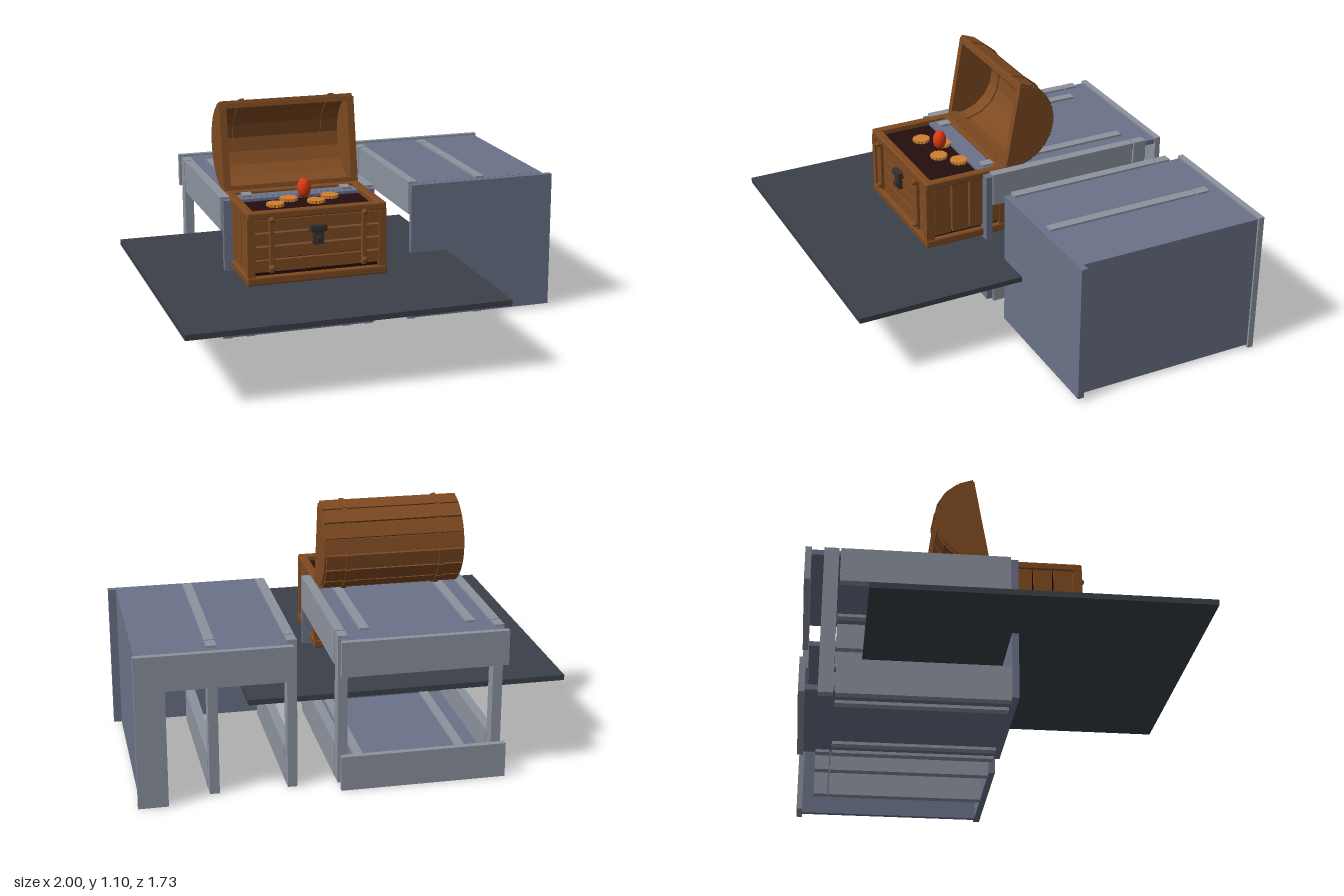
import * as THREE from 'three';
import { RoundedBoxGeometry } from 'three/addons/geometries/RoundedBoxGeometry.js';

const mat = (name, color) => {
  const m = new THREE.MeshStandardMaterial({ color });
  m.name = name;
  return m;
};

export function createModel() {
  const panel = mat('blue grey panel', 0x6b7389);
  const trim = mat('light grey trim', 0x8c939e);
  const slate = mat('dark slate', 0x3b4149);
  const wood = mat('brown wood', 0x7e4a21);
  const lining = mat('dark lining', 0x260d0d);
  const iron = mat('dark iron', 0x35302d);
  const gold = mat('gold', 0xd08030);
  const red = mat('red', 0xdd3812);

  const root = new THREE.Group();
  root.name = 'chestScene';
  const group = (name, parent = root) => {
    const g = new THREE.Group();
    g.name = name;
    parent.add(g);
    return g;
  };
  const add = (parent, name, geo, material, x = 0, y = 0, z = 0) => {
    const m = new THREE.Mesh(geo, material);
    m.name = name;
    m.position.set(x, y, z);
    parent.add(m);
    return m;
  };
  // box given by its limits; r > 0 rounds the edges
  const box = (parent, name, material, x0, x1, y0, y1, z0, z1, r = 0) => {
    const s = [x1 - x0, y1 - y0, z1 - z0];
    const geo = r ? new RoundedBoxGeometry(...s, 2, r) : new THREE.BoxGeometry(...s);
    return add(parent, name, geo, material, (x0 + x1) / 2, (y0 + y1) / 2, (z0 + z1) / 2);
  };

  // floor slab
  box(root, 'floorSlab', slate, -1, 0.455, 0.32, 0.345, -0.595, 0.86);

  // rectangular side frame: rear post with a deep rail at top and bottom
  const frame = (parent, x) => {
    box(parent, 'rearPost', trim, x, x + 0.043, 0.003, 0.688, -0.785, -0.72);
    for (const y of [0.002, 0.53])
      box(parent, 'sideRail', trim, x, x + 0.043, y, y + 0.158, -0.712, 0.033);
  };

  // open stand behind the chest
  const stand = group('openStand');
  box(stand, 'frontPanel', panel, -0.635, 0.09, 0.018, 0.678, 0.036, 0.066);
  for (const y of [0.016, 0.655]) {
    box(stand, 'shelfPanel', panel, -0.632, 0.087, y, y + 0.024, -0.84, 0.036);
    for (const x of [-0.532, -0.058])
      box(stand, 'shelfBatten', trim, x, x + 0.043, y - 0.014, y + 0.034, -0.712, 0.033);
  }
  for (const y of [0.002, 0.53])
    box(stand, 'backRail', trim, -0.642, 0.095, y, y + 0.158, -0.867, -0.84);
  for (const x of [-0.642, 0.052]) frame(stand, x);

  // closed cabinet on the side
  const cabinet = group('cabinet');
  box(cabinet, 'frontPanel', panel, 0.277, 1, 0.018, 0.678, 0.036, 0.066);
  box(cabinet, 'topPanel', panel, 0.312, 0.965, 0.655, 0.679, -0.84, 0.036);
  box(cabinet, 'sidePanel', panel, 0.94, 0.965, 0.016, 0.679, -0.84, 0.036);
  box(cabinet, 'backRail', trim, 0.3, 0.975, 0.53, 0.688, -0.867, -0.84);
  box(cabinet, 'backStile', trim, 0.845, 0.975, 0.003, 0.53, -0.867, -0.84);
  for (const x of [0.273, 0.615]) frame(cabinet, x);

  // chest body
  const chest = group('chest');
  const [X0, X1, Z0, Z1] = [-0.6, 0.05, -0.06, 0.355];
  for (const [y0, y1, o] of [[0.355, 0.395, 0.004], [0.655, 0.692, 0]]) {
    for (const z of [Z0, Z1 - 0.04])
      box(chest, 'longMoulding', wood, X0 - o, X1 + o, y0, y1, z - o, z + 0.04 + o, 0.009);
    for (const x of [X0, X1 - 0.04])
      box(chest, 'shortMoulding', wood, x - o, x + 0.04 + o, y0, y1, Z0, Z1, 0.009);
  }
  for (const x of [X0, X1 - 0.035]) for (const z of [Z0, Z1 - 0.04])
    box(chest, 'cornerPost', wood, x, x + 0.035, 0.39, 0.66, z, z + 0.04);
  // horizontal boards front and back, upright boards at the ends, with open gaps
  for (const z of [Z0 + 0.008, Z1 - 0.03])
    for (let i = 0; i < 4; i++) {
      const y = 0.413 + i * 0.062;
      box(chest, 'longBoard', wood, X0 + 0.035, X1 - 0.035, y, y + 0.053, z, z + 0.022);
    }
  for (const x of [X0 + 0.005, X1 - 0.027])
    for (let i = 0; i < 4; i++) {
      const z = -0.04 + i * 0.09;
      box(chest, 'endBoard', wood, x, x + 0.022, 0.41, 0.657, z, z + 0.081);
    }
  box(chest, 'chestFloor', lining, X0 + 0.02, X1 - 0.02, 0.385, 0.412, Z0 + 0.02, Z1 - 0.02);
  box(chest, 'contentsBed', lining, X0 + 0.03, X1 - 0.03, 0.655, 0.665, Z0 + 0.02, Z1 - 0.03);

  // front straps with studs
  const strapXs = [-0.49, -0.058];
  for (const x of strapXs) {
    box(chest, 'strap', wood, x - 0.011, x + 0.011, 0.41, 0.665, Z1 - 0.01, Z1 + 0.008, 0.004);
    for (const y of [0.435, 0.658])
      add(chest, 'stud', new THREE.SphereGeometry(0.014, 10, 8), wood, x, y, Z1 + 0.014);
  }
  // lock
  box(chest, 'lockPlate', iron, -0.298, -0.25, 0.525, 0.59, 0.335, 0.366);
  box(chest, 'lockHasp', iron, -0.312, -0.236, 0.585, 0.616, 0.335, 0.374, 0.005);
  box(chest, 'lockBolt', iron, -0.287, -0.261, 0.538, 0.565, 0.36, 0.378, 0.004);

  // coins with notched rims, and a red egg
  const coinShape = new THREE.Shape();
  for (let i = 0; i < 32; i++) {
    const a = (i / 32) * Math.PI * 2, r = i % 2 ? 0.037 : 0.042;
    coinShape[i ? 'lineTo' : 'moveTo'](r * Math.cos(a), r * Math.sin(a));
  }
  const coinGeo = new THREE.ExtrudeGeometry(coinShape, { depth: 0.014, bevelEnabled: false });
  coinGeo.rotateX(-Math.PI / 2);
  for (const [x, z] of [[-0.42, 0.17], [-0.335, 0.095], [-0.225, 0.165], [-0.14, 0.1]])
    add(chest, 'coin', coinGeo, gold, x, 0.666, z);
  add(chest, 'egg', new THREE.SphereGeometry(0.032, 16, 12), red, -0.275, 0.73, 0.138).scale.y = 1.45;

  // lid: local y runs along the open edge, local -z is the domed side
  const lid = group('lid', chest);
  lid.position.set(-0.275, 0.888, -0.092);
  lid.rotation.x = -0.175;
  const R = 0.2;
  const half = new THREE.Shape();
  half.absarc(0, 0, R, -Math.PI / 2, Math.PI / 2, false);
  half.closePath();
  const endGeo = new THREE.ExtrudeGeometry(half, { depth: 0.033, bevelEnabled: false, curveSegments: 18 });
  endGeo.rotateY(Math.PI / 2); // dome turns to -z, thickness along x
  for (const x of [-0.325, 0.292]) add(lid, 'lidEnd', endGeo, wood, x, 0, 0);
  const count = 9;
  for (let i = 0; i < count; i++) {
    const a = ((i + 0.5) / count - 0.5) * Math.PI;
    const slat = group('lidSlat', lid);
    slat.rotation.x = a;
    box(slat, 'slat', wood, -0.318, 0.318, -0.034, 0.034, -R - 0.012, -R + 0.012);
    for (const x of strapXs) // bands bent over the slats, inside and out
      for (const z of [-R - 0.014, -R + 0.014])
        box(slat, 'lidBand', wood, x + 0.264, x + 0.286, -0.036, 0.036, z - 0.004, z + 0.004);
  }
  // edge rails along the opening
  for (const y of [-R, R - 0.02])
    box(lid, 'lidEdge', wood, -0.318, 0.318, y, y + 0.02, -0.035, 0.002);

  return root;
}
